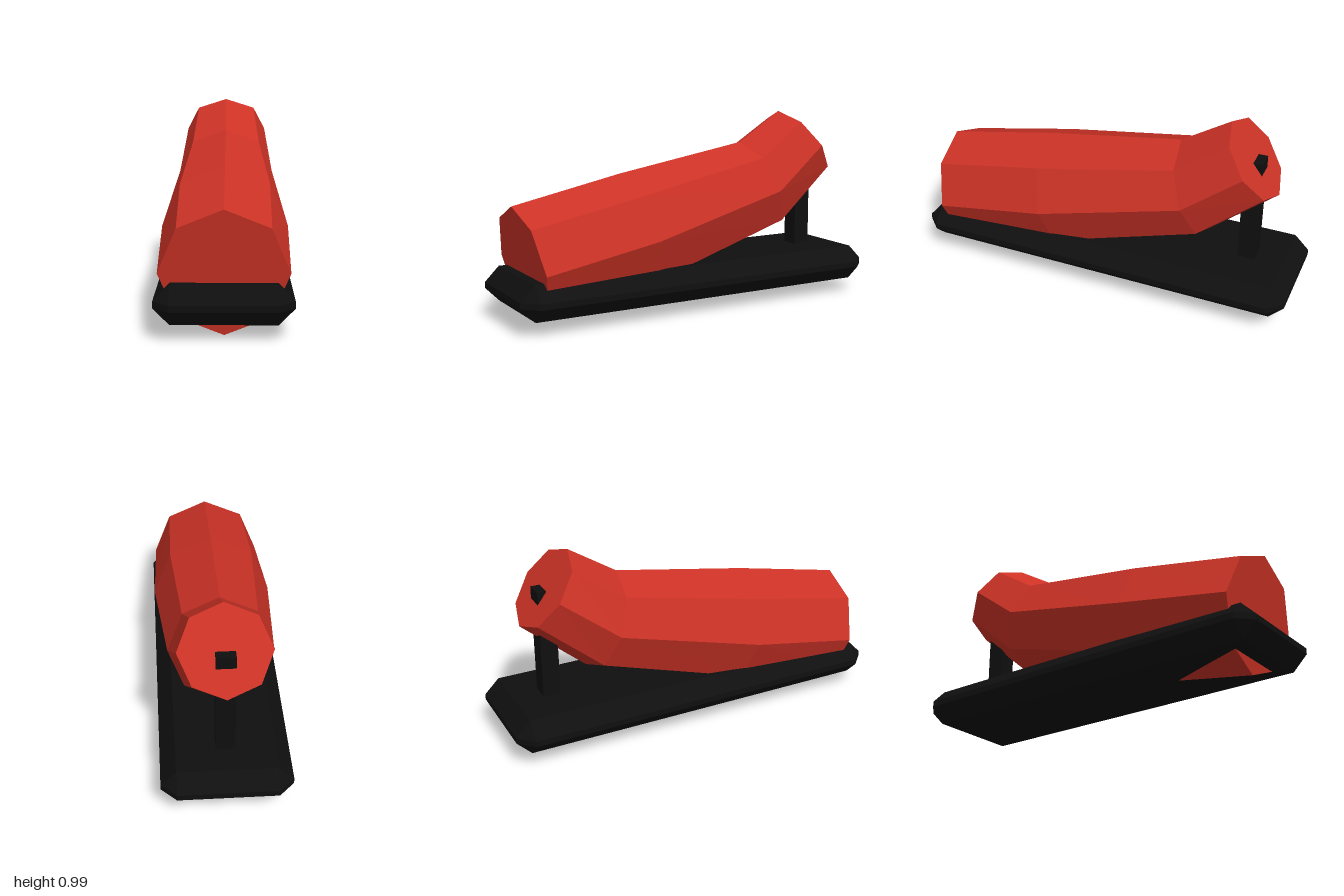
import * as THREE from 'three';
import { ConvexGeometry } from 'three/addons/geometries/ConvexGeometry.js';

const red = new THREE.MeshStandardMaterial({ color: 0xcc3226, flatShading: true });
red.name = 'red';
const black = new THREE.MeshStandardMaterial({ color: 0x0f0f0f, flatShading: true });
black.name = 'black';

const SIDES = 8;

// Octagonal section: centre (z, y), half width, and up vector (uz, uy)
function ring({ z, y, w, uz, uy }) {
  return Array.from({ length: SIDES }, (_, j) => {
    const a = (j / SIDES) * Math.PI * 2;
    const c = Math.cos(a);
    return new THREE.Vector3(w * Math.sin(a), y + uy * c, z + uz * c);
  });
}

// Faceted tube through the sections, closed by flat caps
function loft(sections) {
  const rings = sections.map(ring);
  const points = [];
  const centre = (s) => new THREE.Vector3(0, s.y, s.z);
  const last = rings.length - 1;
  for (let j = 0; j < SIDES; j++) {
    const k = (j + 1) % SIDES;
    for (let i = 0; i < last; i++) {
      const a = rings[i], b = rings[i + 1];
      points.push(a[j], a[k], b[k], a[j], b[k], b[j]);
    }
    points.push(centre(sections[0]), rings[0][k], rings[0][j]);
    points.push(centre(sections[last]), rings[last][j], rings[last][k]);
  }
  const geometry = new THREE.BufferGeometry().setFromPoints(points);
  geometry.computeVertexNormals();
  return geometry;
}

// Box with every edge and corner chamfered
function chamferedBox(hx, hy, hz, c) {
  const points = [];
  for (const sx of [-1, 1]) for (const sy of [-1, 1]) for (const sz of [-1, 1]) {
    points.push(
      new THREE.Vector3(sx * hx, sy * (hy - c), sz * (hz - c)),
      new THREE.Vector3(sx * (hx - c), sy * hy, sz * (hz - c)),
      new THREE.Vector3(sx * (hx - c), sy * (hy - c), sz * hz)
    );
  }
  return new ConvexGeometry(points);
}

export function createModel() {
  const model = new THREE.Group();
  model.name = 'model';
  const add = (name, geometry, material, y = 0, z = 0) => {
    const mesh = new THREE.Mesh(geometry, material);
    mesh.name = name;
    mesh.position.set(0, y, z);
    model.add(mesh);
  };

  // Bent body, from the front end to the raised back end
  add('body', loft([
    { z: 0.888, y: 0.293, w: 0.296, uz: 0.053, uy: 0.293 },
    { z: 0.3, y: 0.405, w: 0.311, uz: 0.06, uy: 0.302 },
    { z: -0.445, y: 0.59, w: 0.258, uz: 0.09, uy: 0.24 },
    { z: -0.737, y: 0.811, w: 0.222, uz: 0.132, uy: 0.176 },
  ]), red);

  // Base plate and rear support post
  add('base', chamferedBox(0.315, 0.09, 1, 0.075), black, 0.16);
  add('post', new THREE.BoxGeometry(0.094, 0.66, 0.09), black, 0.48, -0.74);

  return model;
}
